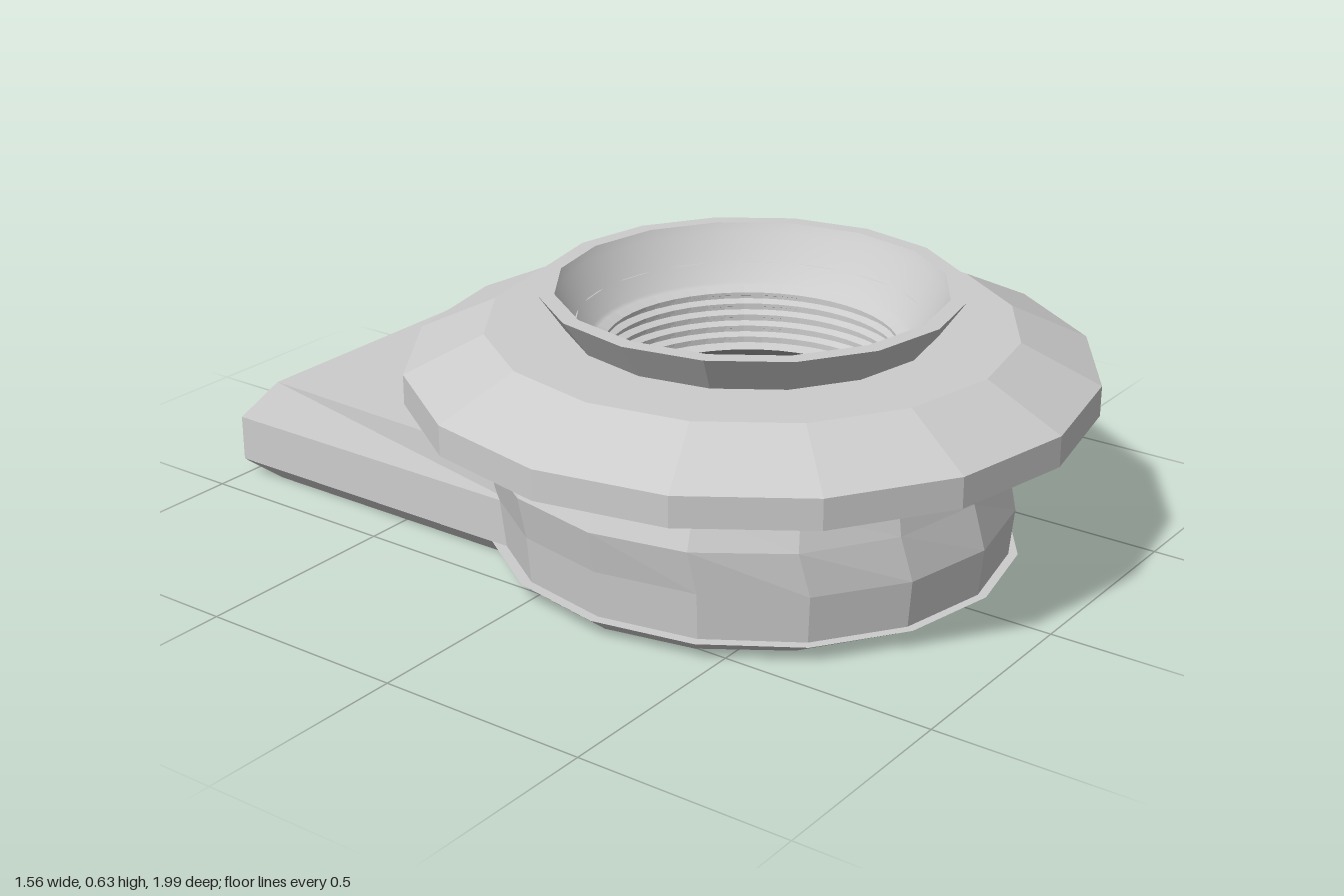
import * as THREE from 'three';

const CZ = 0.215; // axis of the round housing

const mat = (name, color, opts = {}) => {
  const m = new THREE.MeshStandardMaterial({ color, ...opts });
  m.name = name;
  return m;
};

// Skin a list of cross-sections (each an array of [x, y, z]) into a flat-faced surface
function loft(sections, capEnd = false) {
  const n = sections[0].length, pos = [];
  const tri = (a, b, c) => pos.push(...a, ...b, ...c);
  for (let s = 0; s < sections.length - 1; s++) {
    const A = sections[s], B = sections[s + 1];
    for (let i = 0; i < n; i++) {
      const j = (i + 1) % n;
      tri(A[i], A[j], B[j]);
      tri(A[i], B[j], B[i]);
    }
  }
  if (capEnd) {
    const E = sections[sections.length - 1];
    for (let i = 1; i < n - 1; i++) tri(E[0], E[i], E[i + 1]);
  }
  const g = new THREE.BufferGeometry();
  g.setAttribute('position', new THREE.Float32BufferAttribute(pos, 3));
  g.computeVertexNormals();
  return g;
}

export function createModel() {
  const root = new THREE.Group();
  root.name = 'sideOutletFitting';
  const faceted = mat('light grey faceted', 0xcccccc, { flatShading: true, side: THREE.DoubleSide });
  const smooth = faceted.clone();
  smooth.name = 'light grey smooth';
  smooth.flatShading = false;
  const dark = mat('dark grey', 0x4c4c4c, { side: THREE.DoubleSide });

  const add = (name, geo, material, z = 0) => {
    const m = new THREE.Mesh(geo, material);
    m.name = name;
    m.position.z = z;
    root.add(m);
    return m;
  };
  const lathe = (name, pts, segs, material) =>
    add(name, new THREE.LatheGeometry(pts.map(p => new THREE.Vector2(...p)), segs), material, CZ);

  // Base plate: faceted arc joined to a straight tongue, chamfered underneath
  const outline = (r, y, endZ, front) => {
    const pts = [];
    for (let k = -6; k <= 6; k++) {
      const a = k * Math.PI / 8, c = Math.cos(a);
      pts.push([r * Math.sin(a), y, CZ + r * c * (c > 0 ? front : 1)]);
    }
    const w = r * Math.SQRT1_2;
    pts.push([w, y, endZ], [-w, y, endZ]);
    return pts;
  };
  const centre = y => Array.from({ length: 15 }, () => [0, y, 0]);
  add('basePlate', loft([
    centre(0), outline(0.545, 0, -0.91, 1), outline(0.595, 0.04, -1, 1.05), centre(0.04),
  ]), faceted);

  // Round body, slightly fuller toward the front on its lower rows
  const body = lathe('body', [[0.57, 0.04], [0.58, 0.15], [0.6, 0.25], [0.567, 0.33], [0.48, 0.33]], 16, faceted);
  const p = body.geometry.attributes.position;
  for (let i = 0; i < p.count; i++) {
    const y = p.getY(i), z = p.getZ(i);
    if (z > 0) p.setZ(i, z * (y < 0.2 ? 1.06 : y < 0.3 ? 0.975 : 1));
  }
  body.geometry.computeVertexNormals();

  // Wide flange and flared collar
  lathe('flange', [[0.5, 0.33], [0.78, 0.39], [0.78, 0.46], [0.6, 0.545], [0.4, 0.545]], 16, faceted);
  lathe('collar', [[0.42, 0.545], [0.48, 0.63], [0.442, 0.63]], 16, faceted);

  // Smooth funnel inside the collar
  lathe('funnel', [[0.447, 0.63], [0.435, 0.605], [0.4, 0.55], [0.365, 0.505], [0.355, 0.5]], 48, smooth);

  // Ribbed bore below the funnel
  const ribs = [[0.355, 0.5]];
  for (let i = 0; i < 5; i++) {
    const y = 0.49 - i * 0.028;
    ribs.push([0.332, y], [0.332, y - 0.007], [0.35, y - 0.014], [0.35, y - 0.021]);
  }
  ribs.push([0.32, 0.35]);
  lathe('ribbedBore', ribs, 48, faceted);

  // Dark seat, bright lip, and well floor
  lathe('boreSeat', [[0.325, 0.35], [0.26, 0.345]], 48, dark);
  lathe('seatLip', [[0.262, 0.345], [0.256, 0.352], [0.25, 0.345]], 48, smooth);
  lathe('well', [[0.25, 0.345], [0.235, 0.1], [0, 0.1]], 48, dark);

  // Rectangular outlet with a slanted open mouth; section runs around six points
  const section = (wLow, wTop, y0, y1, y2, z0, z2) => [
    [-wLow, y0, z0], [-wLow, y1, z0], [-wTop, y2, z2],
    [wTop, y2, z2], [wLow, y1, z0], [wLow, y0, z0],
  ];
  const mouthInner = section(0.355, 0.35, 0.06, 0.15, 0.235, -0.88, -0.88);
  add('outletShell', loft([
    section(0.42, 0.41, 0.04, 0.15, 0.25, -0.1, -0.1),
    section(0.42, 0.38, 0.04, 0.15, 0.25, -1, -0.91),
    mouthInner,
  ]), faceted);
  add('outletChannel', loft([
    mouthInner,
    section(0.355, 0.35, 0.06, 0.15, 0.235, -0.42, -0.42),
  ], true), dark);

  return root;
}
